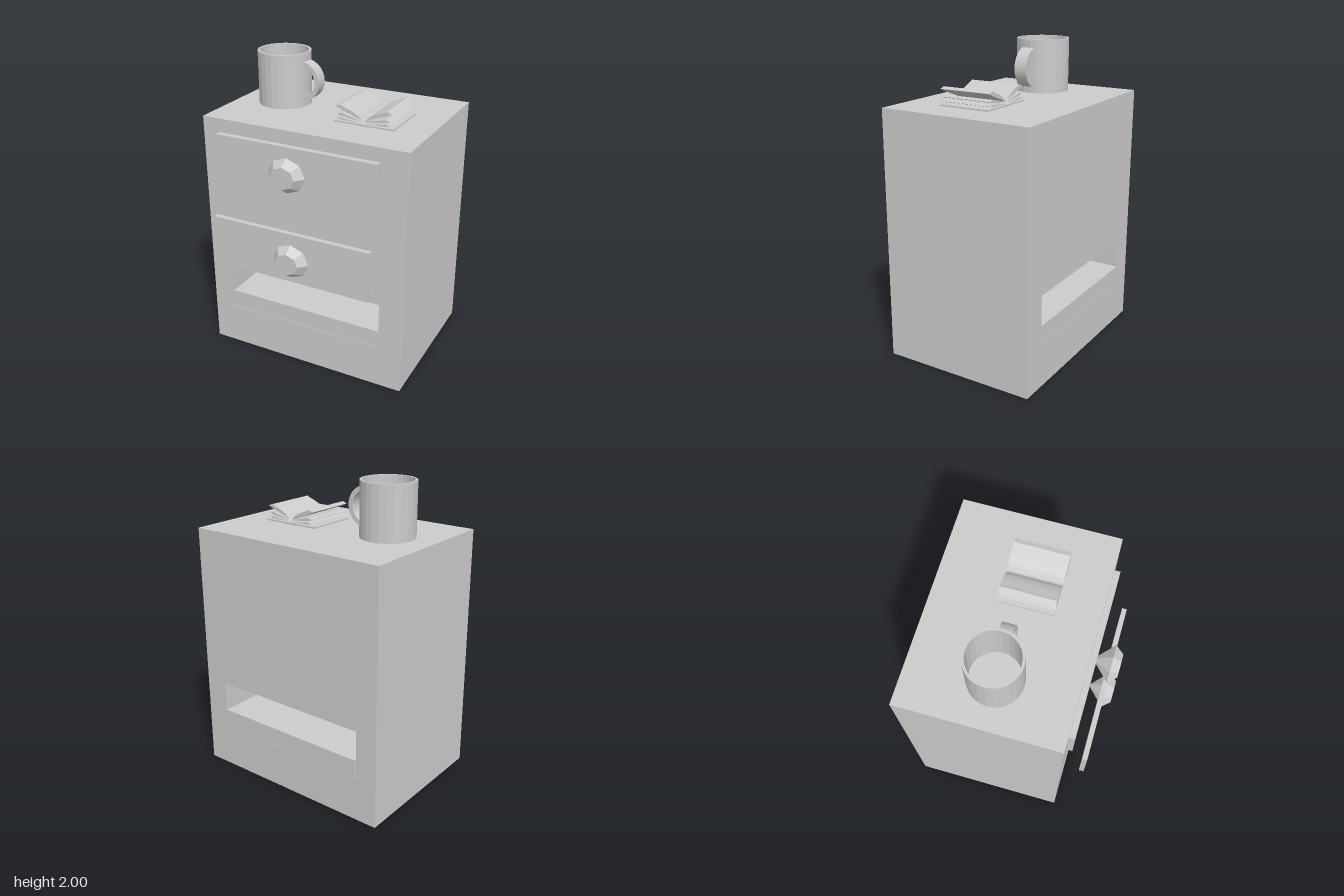
import * as THREE from 'three';

const grey = new THREE.MeshStandardMaterial({ color: 0xcccccc, flatShading: true, side: THREE.DoubleSide });

function add(parent, name, geometry, x = 0, y = 0, z = 0) {
  const mesh = new THREE.Mesh(geometry, grey);
  mesh.name = name;
  mesh.position.set(x, y, z);
  parent.add(mesh);
  return mesh;
}

// Box given by its limits on each axis
function slab(parent, name, [x0, x1], [y0, y1], [z0, z1]) {
  const g = new THREE.BoxGeometry(x1 - x0, y1 - y0, z1 - z0);
  return add(parent, name, g, (x0 + x1) / 2, (y0 + y1) / 2, (z0 + z1) / 2);
}

function rect(Type, x0, x1, y0, y1) {
  return new Type([[x0, y0], [x1, y0], [x1, y1], [x0, y1]].map(p => new THREE.Vector2(...p)));
}

function extrude(shape, depth, curveSegments = 10) {
  return new THREE.ExtrudeGeometry(shape, { depth, bevelEnabled: false, curveSegments });
}

// Faceted eight-sided knob: pointed at the back, flat table at the front
function knob(parent, name, x, y, backZ) {
  const profile = [[0, 0], [0.127, 0.118], [0.08, 0.172], [0, 0.172]].map(p => new THREE.Vector2(...p));
  const g = new THREE.LatheGeometry(profile, 8);
  g.rotateX(Math.PI / 2);
  g.scale(1, 0.89, 1);
  add(parent, name, g, x, y, backZ);
}

// One curved block of pages: upper curve out, lower curve back
function leafShape(reach, rise, lift, thick) {
  const s = new THREE.Shape();
  s.moveTo(0.01, lift);
  s.bezierCurveTo(0.05, lift + rise * 0.75, 0.11, lift + rise * 0.85, reach - 0.035, lift + rise + thick * 0.6);
  s.lineTo(reach, lift + rise);
  s.lineTo(reach - 0.015, lift + rise - thick * 0.4);
  s.bezierCurveTo(0.11, lift + rise * 0.6 - thick * 0.5, 0.05, lift + rise * 0.3, 0.01, lift);
  return s;
}

export function createModel() {
  const model = new THREE.Group();
  model.name = 'bedsideCabinet';

  // Cabinet body with a slot running from front to back
  const front = rect(THREE.Shape, -0.7, 0.7, 0, 1.65);
  front.holes.push(rect(THREE.Path, -0.555, 0.54, 0.29, 0.61));
  add(model, 'cabinetBody', extrude(front, 1.03), 0, 0, -0.613);
  slab(model, 'shelf', [-0.545, 0.539], [0.291, 0.41], [-0.612, 0.415]);

  // Drawer fronts and knobs
  slab(model, 'upperDrawerFront', [-0.58, 0.525], [1.26, 1.56], [0.417, 0.455]);
  slab(model, 'lowerDrawerFront', [-0.56, 0.53], [0.705, 1.04], [0.527, 0.56]);
  knob(model, 'upperKnob', -0.025, 1.42, 0.43);
  knob(model, 'lowerKnob', -0.004, 0.853, 0.443);

  // Mug: hollow cup and half-ring handle
  const mug = new THREE.Group();
  mug.name = 'mug';
  mug.position.set(-0.385, 1.65, -0.075);
  model.add(mug);
  const cup = [[0, 0.002], [0.174, 0.002], [0.174, 0.35], [0.158, 0.35], [0.158, 0.02], [0, 0.02]];
  add(mug, 'cup', new THREE.LatheGeometry(cup.map(p => new THREE.Vector2(...p)), 24));
  const ring = new THREE.Shape();
  ring.absarc(0, 0, 0.13, -1.45, 1.45, false);
  ring.absarc(0, 0, 0.1, 1.45, -1.45, true);
  add(mug, 'mugHandle', extrude(ring, 0.085, 12), 0.146, 0.17, 0.013 - 0.043);

  // Open book: two covers, spine and fanned pages mirrored about the fold
  const book = new THREE.Group();
  book.name = 'openBook';
  book.position.set(0.284, 1.65, -0.203);
  model.add(book);
  slab(book, 'spine', [-0.045, 0.045], [0.002, 0.012], [0, 0.35]);
  const leaves = [[0.187, 0.07, 0.036, 0.018], [0.178, 0.028, 0.029, 0.014], [0.178, 0.01, 0.02, 0.012]];
  for (const side of [-1, 1]) {
    const half = new THREE.Group();
    half.name = side > 0 ? 'leftHalf' : 'rightHalf';
    half.scale.x = side;
    book.add(half);
    slab(half, 'cover', [0.005, 0.202], [0.004, 0.014], [0, 0.35]);
    leaves.forEach((leaf, i) => add(half, 'pages' + (i + 1), extrude(leafShape(...leaf), 0.35, 8)));
  }
  return model;
}
